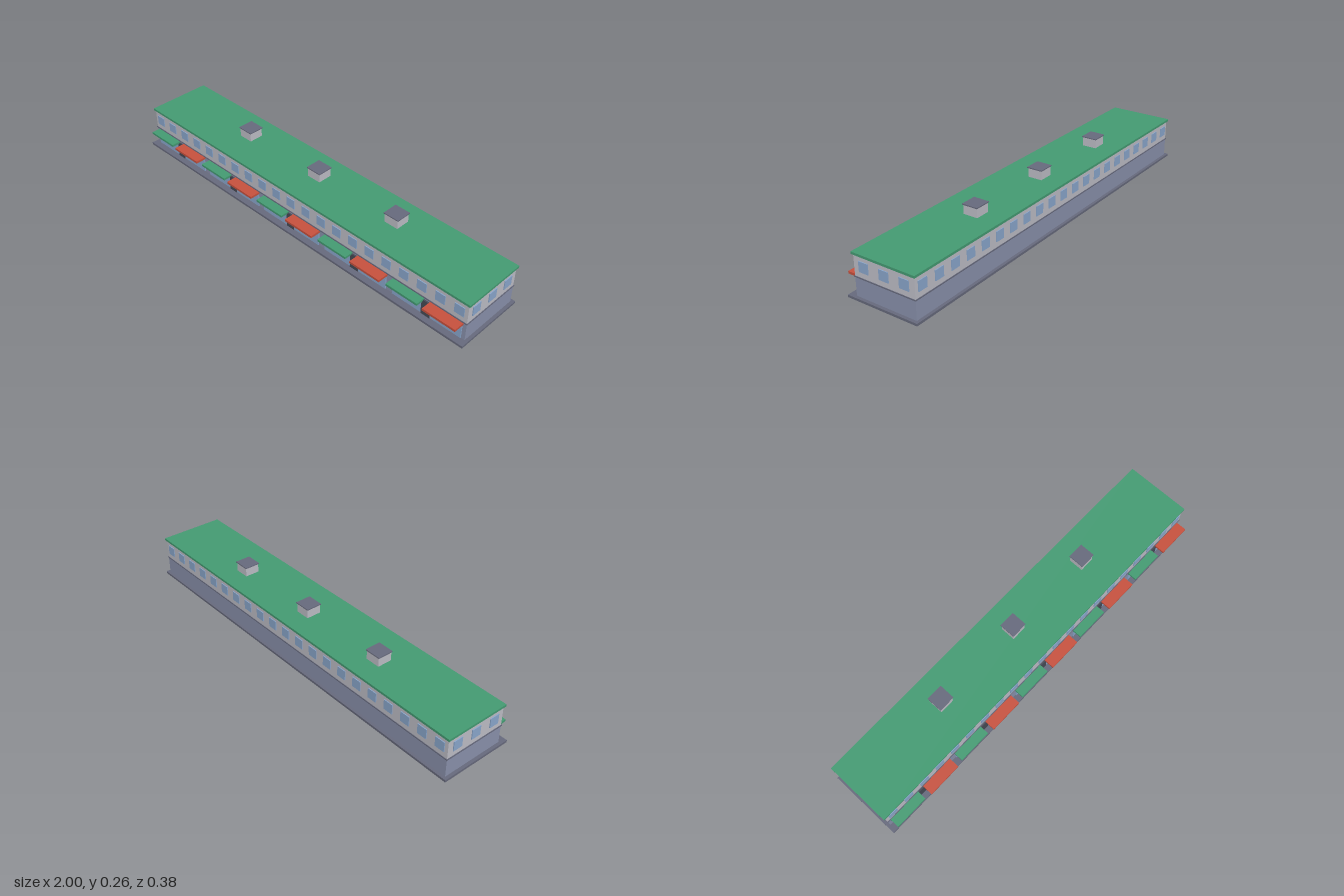
import * as THREE from 'three';

const mat = (name, color) => {
  const m = new THREE.MeshStandardMaterial({ color });
  m.name = name;
  return m;
};

export function createModel() {
  const model = new THREE.Group();
  model.name = 'shopRow';
  const green = mat('green', 0x459d74);
  const red = mat('red', 0xc9523f);
  const pale = mat('paleGrey', 0xc0c0c9);
  const lavender = mat('lavender', 0x8b93ae);
  const slate = mat('slate', 0x686b7e);
  const glass = mat('glass', 0x8ca9cf);
  const dark = mat('dark', 0x474b57);

  // Box given by its extents on each axis
  const box = (name, material, [x0, x1], [y0, y1], [z0, z1]) => {
    const mesh = new THREE.Mesh(new THREE.BoxGeometry(x1 - x0, y1 - y0, z1 - z0), material);
    mesh.position.set((x0 + x1) / 2, (y0 + y1) / 2, (z0 + z1) / 2);
    mesh.name = name;
    model.add(mesh);
  };
  const around = (c, w) => [c - w / 2, c + w / 2];

  const front = 0.135, back = -0.174, half = 0.985;

  // Main storeys
  box('plinth', slate, [-1, 1], [0, 0.011], [-0.188, 0.17]);
  box('groundFloor', lavender, [-half, half], [0.011, 0.097], [back, front]);
  box('floorBand', slate, [-0.988, 0.988], [0.097, 0.102], [-0.177, 0.138]);
  box('upperFloor', pale, [-half, half], [0.102, 0.197], [back, front]);
  box('roof', green, [-0.992, 0.992], [0.197, 0.208], [-0.181, 0.141]);

  // Upper windows along the front and back
  const sill = [0.128, 0.175], win = 0.048;
  for (let i = -10; i <= 10; i++) {
    const x = around(i * 0.0944, win);
    box('frontWindow', glass, x, sill, [front, front + 0.004]);
    box('backWindow', glass, x, sill, [back - 0.004, back]);
  }

  // Upper windows on both ends
  for (const z of [0.084, -0.02, -0.122]) {
    box('leftEndWindow', glass, [half, half + 0.004], sill, around(z, win));
    box('rightEndWindow', glass, [-half - 0.004, -half], sill, around(z, win));
  }

  // Shopfronts with alternating awnings
  const pitch = 0.197;
  for (let i = 0; i < 10; i++) {
    const x = (i - 4.5) * pitch;
    box('shopWindow', glass, around(x, 0.16), [0.013, 0.084], [front, 0.14]);
    if (i % 2) box('redAwning', red, around(x, 0.166), [0.085, 0.096], [front, 0.189]);
    else box('greenAwning', green, around(x, 0.166), [0.083, 0.094], [front, 0.182]);
  }

  // Doors between each pair of shops
  for (let i = -2; i <= 2; i++) {
    box('shopDoor', dark, around(i * pitch * 2, 0.046), [0.011, 0.088], [front, 0.142]);
  }

  // Roof vents
  for (const x of [-0.461, 0, 0.461]) {
    box('roofVent', pale, around(x, 0.072), [0.208, 0.251], [-0.079, -0.008]);
    box('ventCap', slate, around(x, 0.08), [0.251, 0.256], [-0.082, -0.005]);
  }

  return model;
}
